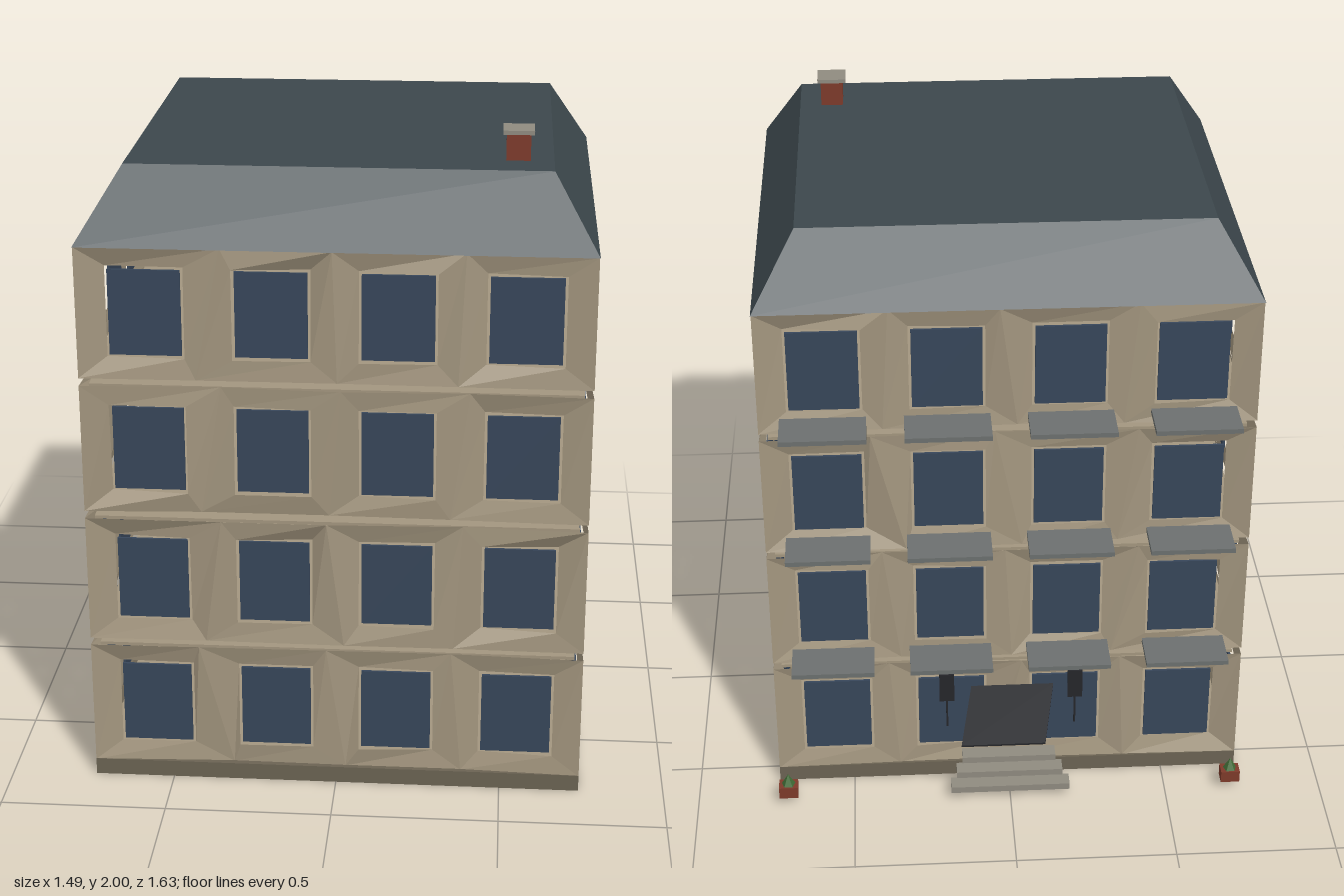
import * as THREE from 'three';

const mat = (color, side = THREE.FrontSide) =>
  new THREE.MeshStandardMaterial({ color, side, flatShading: true });
const WALL = mat(0xa3967f, THREE.DoubleSide), GLASS = mat(0x37465a), ROOF = mat(0x3c474c);
const BASE = mat(0x6b6353), SLAB = mat(0x6c706f), DARK = mat(0x25262a), BRICK = mat(0x7d3a2a);
const LEAF = mat(0x3f6b35), STONE = mat(0x8f8b80);

const CZ = 0.12, HX = 0.742, HZ = 0.69; // footprint centre and half sizes
const FLOORS = 4, BAYS = 4, PITCH = 0.4185;

let seed = 7;
const rnd = () => (seed = (seed * 16807) % 2147483647) / 2147483647;

function box(parent, name, material, size, pos) {
  const m = new THREE.Mesh(new THREE.BoxGeometry(...size), material);
  m.name = name;
  m.position.set(...pos);
  parent.add(m);
  return m;
}

// One storey of one side: a faceted skin with four window openings
function wallStrip(half, dist, y0, y1, wy0, wy1) {
  const p = [];
  const quad = (a, b, c, d) => p.push(...a, ...b, ...c, ...a, ...c, ...d);
  const pitch = half * 0.49, hw = half * 0.141 + 0.008;
  const piers = [];
  for (let k = 0; k <= BAYS; k++) {
    const end = k === 0 || k === BAYS;
    const u = end ? Math.sign(k - 1) * half : (k - BAYS / 2) * pitch;
    const lean = end ? 0 : (rnd() - 0.5) * 0.1;
    const depth = () => dist - (end ? 0 : rnd() * 0.02);
    piers.push({ b: [u - lean, y0, depth()], t: [u + lean, y1, depth()] });
  }
  for (let k = 0; k < BAYS; k++) {
    const c = (k - (BAYS - 1) / 2) * pitch;
    const corner = (s, y) => [c + s * hw, y, dist - 0.005 - rnd() * 0.025];
    const bl = corner(-1, wy0), br = corner(1, wy0), tr = corner(1, wy1), tl = corner(-1, wy1);
    const L = piers[k], R = piers[k + 1];
    quad(L.b, R.b, br, bl);
    quad(br, R.b, R.t, tr);
    quad(tl, tr, R.t, L.t);
    quad(L.b, bl, tl, L.t);
  }
  const g = new THREE.BufferGeometry();
  g.setAttribute('position', new THREE.Float32BufferAttribute(p, 3));
  g.computeVertexNormals();
  return g;
}

export function createModel() {
  const model = new THREE.Group();
  model.name = 'apartmentBuilding';

  // Plinth
  box(model, 'plinth', BASE, [HX * 2, 0.052, HZ * 2], [0, 0.026, CZ]);

  // Four storeys with open joints between them
  for (let f = 0; f < FLOORS; f++) {
    const storey = new THREE.Group();
    storey.name = 'storey' + (f + 1);
    const y0 = 0.05 + f * PITCH, y1 = y0 + 0.395;
    const gy0 = 0.12 + f * PITCH, gy1 = gy0 + 0.257;
    for (let s = 0; s < 4; s++) {
      const half = s % 2 ? HZ : HX, dist = s % 2 ? HX : HZ;
      const side = new THREE.Group();
      side.name = 'facade';
      side.position.z = CZ;
      side.rotation.y = s * Math.PI / 2;
      const wall = new THREE.Mesh(wallStrip(half, dist, y0, y1, gy0 - 0.008, gy1 + 0.008), WALL);
      wall.name = 'wall';
      side.add(wall);
      for (let k = 0; k < BAYS; k++) {
        box(side, 'window', GLASS, [half * 0.282, gy1 - gy0, 0.008],
          [(k - 1.5) * half * 0.49, (gy0 + gy1) / 2, dist - 0.02]);
      }
      storey.add(side);
    }
    // Floor and ceiling close each storey
    for (const y of [y0 + 0.006, y1 - 0.006])
      box(storey, 'floorSlab', WALL, [HX * 2 - 0.05, 0.01, HZ * 2 - 0.05], [0, y, CZ]);
    model.add(storey);
  }

  // Mansard roof: a box with its top drawn inward
  const roofGeo = new THREE.BoxGeometry(HX * 2 + 0.004, 0.212, HZ * 2 + 0.004);
  const rp = roofGeo.attributes.position;
  for (let i = 0; i < rp.count; i++) {
    if (rp.getY(i) > 0) {
      rp.setX(i, Math.sign(rp.getX(i)) * 0.613);
      rp.setZ(i, Math.sign(rp.getZ(i)) * 0.56);
    }
  }
  roofGeo.computeVertexNormals();
  const roof = new THREE.Mesh(roofGeo, ROOF);
  roof.name = 'roof';
  roof.position.set(0, 1.806, CZ);
  model.add(roof);

  // Chimney
  box(model, 'chimney', BRICK, [0.07, 0.1, 0.08], [0.51, 1.94, 0.53]);
  box(model, 'chimneyCap', STONE, [0.09, 0.012, 0.09], [0.51, 1.994, 0.53]);

  // Rear balconies
  for (let f = 1; f < FLOORS; f++)
    for (let k = 0; k < BAYS; k++)
      box(model, 'balcony', SLAB, [0.256, 0.015, 0.135],
        [(k - 1.5) * 0.367, 0.512 + (f - 1) * PITCH, -0.637]);

  // Skewed entrance canopy, sloping outward
  const canopyGeo = new THREE.BoxGeometry(0.26, 0.006, 0.21);
  const cp = canopyGeo.attributes.position;
  for (let i = 0; i < cp.count; i++) {
    const z = cp.getZ(i);
    cp.setX(i, cp.getX(i) - z * 0.19);
    cp.setY(i, cp.getY(i) + z * 0.33);
  }
  canopyGeo.computeVertexNormals();
  const canopy = new THREE.Mesh(canopyGeo, DARK);
  canopy.name = 'canopy';
  canopy.position.set(0.01, 0.345, -0.713);
  model.add(canopy);

  // Entrance steps
  for (let i = 0; i < 3; i++)
    box(model, 'step', STONE, [0.3 + i * 0.04, 0.022, 0.05],
      [0, 0.09 - i * 0.025, -0.592 - i * 0.043]);

  for (const s of [-1, 1]) {
    // Hanging lamps beside the canopy
    box(model, 'lamp', DARK, [0.046, 0.1, 0.008], [s * 0.2, 0.45, -0.7]);
    box(model, 'lampRod', DARK, [0.006, 0.1, 0.004], [s * 0.2, 0.35, -0.7]);
    // Planters
    box(model, 'planter', BRICK, [0.06, 0.04, 0.045], [s * 0.71, 0.05, -0.677]);
    const plant = new THREE.Mesh(new THREE.ConeGeometry(0.024, 0.042, 5), LEAF);
    plant.name = 'plant';
    plant.position.set(s * 0.71, 0.088, -0.677);
    model.add(plant);
  }
  return model;
}
